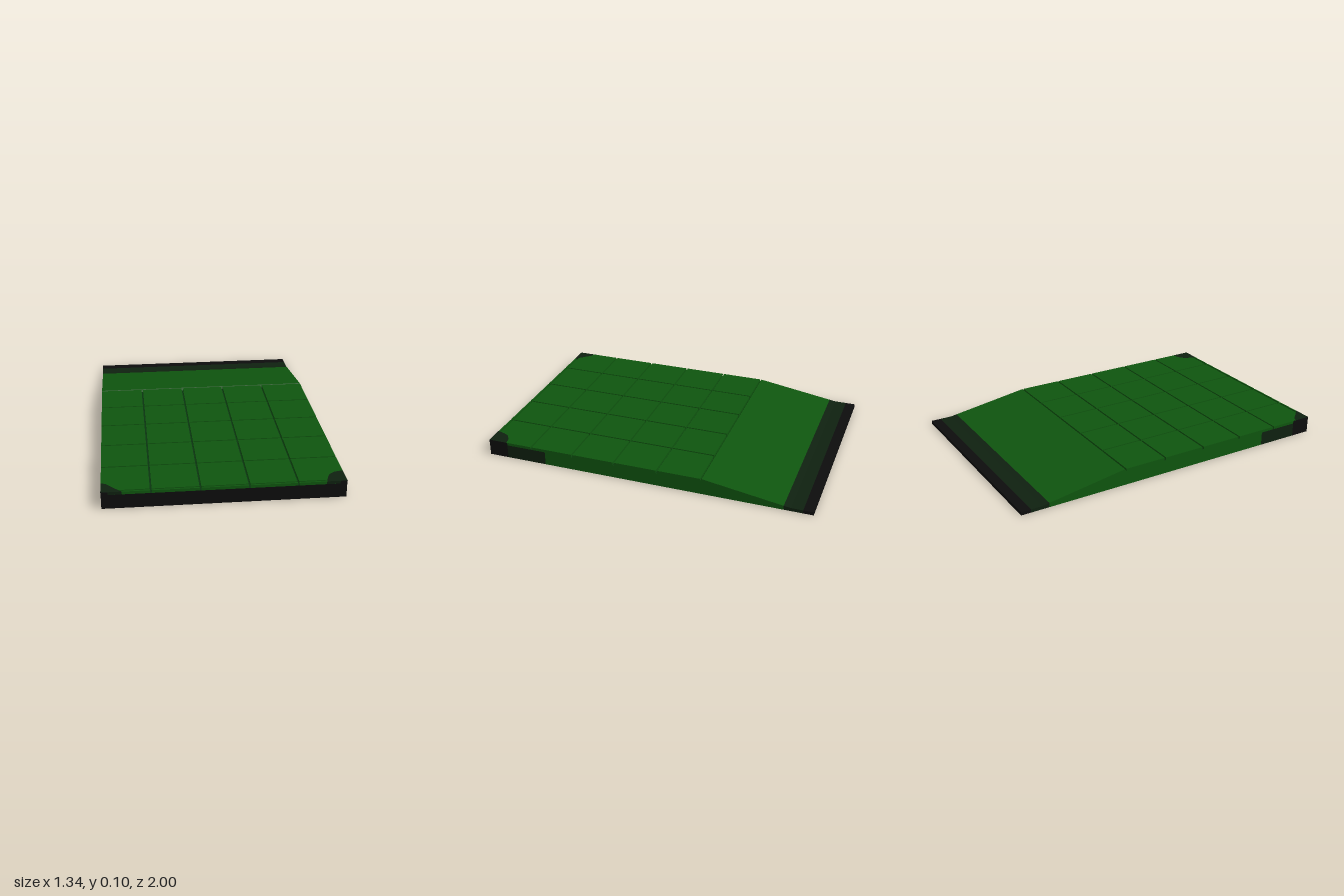
import * as THREE from 'three';

const W = 0.667;      // half width
const TOP = 0.1;      // deck height
const FLOOR = 0.083;  // bottom of the grooves
const CELL = 0.2667;  // tile spacing
const GAP = 0.01;     // groove width

const material = (name, color) => {
  const m = new THREE.MeshStandardMaterial({ color });
  m.name = name;
  return m;
};

export function createModel() {
  const green = material('green', 0x0f560f);
  const grooveGreen = material('groove green', 0x0a3410);
  const darkGreen = material('dark green', 0x0f2110);
  const black = material('black', 0x0d0d0d);
  const model = new THREE.Group();
  model.name = 'rampPanel';

  const add = (name, geometry, mat, parent = model) => {
    const mesh = new THREE.Mesh(geometry, mat);
    mesh.name = name;
    parent.add(mesh);
    return mesh;
  };
  const box = (name, x0, x1, y0, y1, z0, z1, mat, parent) =>
    add(name, new THREE.BoxGeometry(x1 - x0, y1 - y0, z1 - z0), mat, parent)
      .position.set((x0 + x1) / 2, (y0 + y1) / 2, (z0 + z1) / 2);

  // Side profile given as [z, y], swept across the full width
  const slab = (name, profile, mat) => {
    const shape = new THREE.Shape(profile.map(p => new THREE.Vector2(...p)));
    const g = new THREE.ExtrudeGeometry(shape, { depth: 2 * W, bevelEnabled: false });
    g.rotateY(-Math.PI / 2).translate(W, 0, 0);
    add(name, g, mat);
  };

  // Base, banded from front to back
  box('frontBand', -W, W, 0, FLOOR, 0.88, 1, black);
  box('frontInnerBand', -W, W, 0, FLOOR, 0.63, 0.88, darkGreen);
  slab('rampBody', [[0.63, 0], [0.63, FLOOR], [-0.342, FLOOR], [-0.352, TOP],
    [-0.83, 0.026], [-0.83, 0]], green);
  slab('rampFoot', [[-0.83, 0], [-0.83, 0.026], [-0.87, 0.02], [-0.94, 0.02], [-0.94, 0]], darkGreen);
  box('backBand', -W, W, 0, 0.02, -1, -0.94, black);

  // Groove floor
  const floor = new THREE.PlaneGeometry(2 * W, 1.342).rotateX(-Math.PI / 2);
  add('grooveFloor', floor, grooveGreen).position.set(0, FLOOR + 0.0005, 0.329);

  // Raised tiles, five columns by five rows plus a narrow front lip
  const tiles = new THREE.Group();
  tiles.name = 'tiles';
  model.add(tiles);
  for (let c = 0; c < 5; c++) {
    const x0 = c === 0 ? -W : -W + c * CELL + GAP / 2;
    const x1 = c === 4 ? W : -W + (c + 1) * CELL - GAP / 2;
    for (let r = 0; r < 6; r++) {
      const z0 = -0.347 + r * CELL + GAP / 2;
      const z1 = r === 5 ? 1 : z0 + CELL - GAP;
      box(r === 5 ? 'frontLip' : 'tile', x0, x1, FLOOR, TOP, z0, z1, green, tiles);
    }
  }

  // Dark front corners, outlined as [x, z]
  const corners = {
    rightCorner: [[-W, 1], [-W, 0.9], [-0.64, 0.91], [-0.59, 0.965], [-0.555, 1]],
    leftCorner: [[W, 1], [W, 0.885], [0.62, 0.895], [0.585, 0.92], [0.57, 0.95], [0.555, 1]],
  };
  for (const [name, outline] of Object.entries(corners)) {
    const shape = new THREE.Shape(outline.map(p => new THREE.Vector2(...p)));
    const g = new THREE.ExtrudeGeometry(shape, { depth: TOP - FLOOR, bevelEnabled: false });
    g.rotateX(Math.PI / 2).translate(0, TOP + 0.0005, 0.0005);
    add(name, g, darkGreen);
    // Black edging around the corner
    const s = Math.sign(outline[0][0]);
    const side = s * W;
    box(name + 'SideEdge', side - 0.001, side + 0.001, FLOOR, TOP, 0.88, 1.001, black);
    box(name + 'FrontEdge', s * 0.6485 - 0.0185, s * 0.6485 + 0.0185, FLOOR, TOP, 0.999, 1.001, black);
  }
  return model;
}
